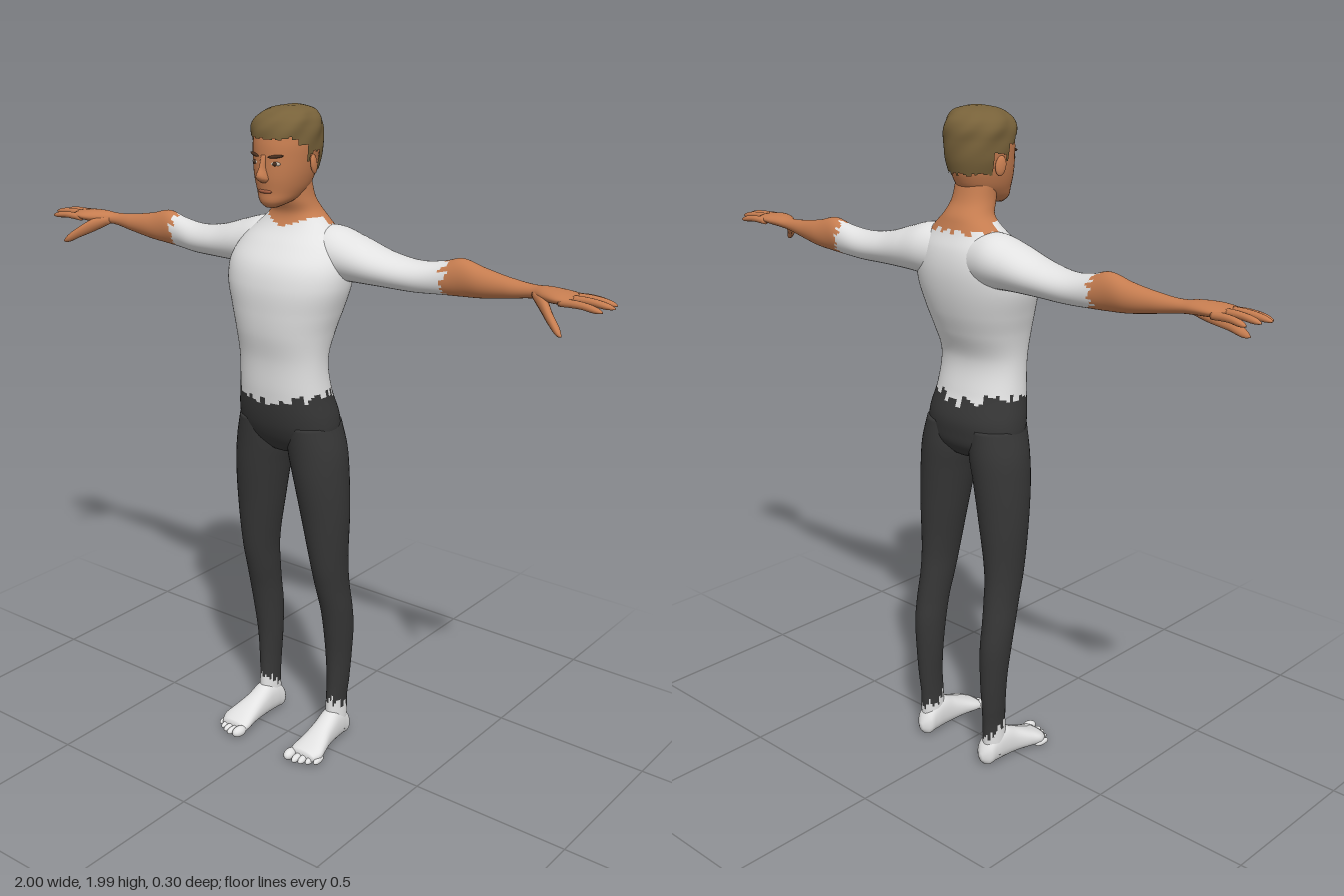
import * as THREE from 'three';

const paint = (name, color, side = THREE.FrontSide) => {
  const m = new THREE.MeshStandardMaterial({ color, side });
  m.name = name;
  return m;
};

// Repeatable pseudo-random value (0..1) for the ragged hems
const jag = (j) => { const v = Math.sin(j * 12.9898 + 4.1) * 43758.5453; return v - Math.floor(v); };

// Smooth loft. Each row is [t, centreA, radiusA, centreB, radiusB] along the axis.
// pick(x, y, z, j) returns the material index of a face, or -1 to leave it out.
function loft(name, axis, rows, mats, o = {}) {
  const { steps = 24, segs = 24, power = 2, side = 1, pick = () => 0, bump = () => 1 } = o;
  const curve = new THREE.CubicInterpolant(rows.map(r => r[0]), rows.flatMap(r => r.slice(1)), 4, new Float32Array(4));
  const place = {
    x: (t, a, b) => [t * side, a, b],
    y: (t, a, b) => [a * side, t, b],
    z: (t, a, b) => [a * side, b, t],
  }[axis];
  const t0 = rows[0][0], t1 = rows[rows.length - 1][0];
  const pos = [], ends = [];
  for (let i = 0; i <= steps; i++) {
    const t = t0 + (t1 - t0) * i / steps;
    const [ca, ra, cb, rb] = curve.evaluate(t);
    for (let j = 0; j < segs; j++) {
      const q = j / segs * Math.PI * 2, c = Math.cos(q), s = Math.sin(q), k = bump(q, t);
      pos.push(...place(t,
        ca + Math.sign(c) * Math.abs(c) ** (2 / power) * Math.max(ra, 0.001) * k,
        cb + Math.sign(s) * Math.abs(s) ** (2 / power) * Math.max(rb, 0.001) * k));
    }
    if (i === 0 || i === steps) ends.push(place(t, ca, cb));
  }
  pos.push(...ends[0], ...ends[1]);
  const n = (steps + 1) * segs;
  const flip = (axis === 'y') !== (side < 0);
  const buckets = mats.map(() => []);
  const add = (j, ...f) => {
    const mid = [0, 1, 2].map(k => f.reduce((sum, v) => sum + pos[v * 3 + k], 0) / f.length);
    const m = pick(mid[0] * side, mid[1], mid[2], j);
    if (m < 0) return;
    if (flip) f.reverse();
    buckets[m].push(f[0], f[1], f[2]);
    if (f.length === 4) buckets[m].push(f[0], f[2], f[3]);
  };
  for (let j = 0; j < segs; j++) {
    const k = (j + 1) % segs;
    for (let i = 0; i < steps; i++) add(j, i * segs + j, i * segs + k, (i + 1) * segs + k, (i + 1) * segs + j);
    add(j, n, k, j);
    add(j, n + 1, steps * segs + j, steps * segs + k);
  }
  const geo = new THREE.BufferGeometry();
  geo.setAttribute('position', new THREE.Float32BufferAttribute(pos, 3));
  geo.setIndex(buckets.flat());
  let start = 0;
  buckets.forEach((b, i) => { geo.addGroup(start, b.length, i); start += b.length; });
  geo.computeVertexNormals();
  const mesh = new THREE.Mesh(geo, mats);
  mesh.name = name;
  return mesh;
}

function blob(name, mat, p, s, rot = [0, 0, 0]) {
  const mesh = new THREE.Mesh(new THREE.SphereGeometry(1, 16, 12), mat);
  mesh.name = name;
  mesh.position.set(...p);
  mesh.scale.set(...s);
  mesh.rotation.set(...rot);
  return mesh;
}

export function createModel() {
  const g = new THREE.Group();
  g.name = 'standingMan';
  const skin = paint('skin', 0xc67d50), shirt = paint('white cloth', 0xe2e2e2), trousers = paint('dark trousers', 0x363636);
  const hair = paint('hair', 0x78623a, THREE.DoubleSide), dark = paint('brow brown', 0x4a3020);
  const lip = paint('lips', 0xa65f42), white = paint('eye white', 0xcdbfae);

  // Hips, shirt and neck in one body, split at hem and neckline
  g.add(loft('torso', 'y', [
    [0.985, 0, 0.07, -0.02, 0.06], [1.02, 0, 0.145, -0.018, 0.088], [1.06, 0, 0.163, -0.012, 0.102],
    [1.1, 0, 0.163, -0.007, 0.108], [1.18, 0, 0.148, 0.01, 0.1], [1.28, 0, 0.143, 0.02, 0.095],
    [1.36, 0, 0.155, 0.012, 0.117], [1.42, 0, 0.172, 0.003, 0.13], [1.5, 0, 0.193, -0.007, 0.138],
    [1.56, 0, 0.19, -0.018, 0.13], [1.61, 0, 0.165, -0.033, 0.106], [1.65, 0, 0.125, -0.042, 0.079],
    [1.675, 0, 0.098, -0.045, 0.067], [1.695, 0, 0.078, -0.043, 0.062], [1.73, 0, 0.065, -0.025, 0.058],
    [1.79, 0, 0.06, -0.01, 0.055],
  ], [trousers, shirt, skin], {
    steps: 120, segs: 64, power: 2.2,
    pick: (x, y, z, j) => {
      if (y < 1.135 + 0.2 * Math.min(Math.abs(x), 0.12) + 0.032 * jag(j)) return 0;
      const neckline = z < -0.045 ? 1.645 + 0.02 * jag(j) : 1.655 + 0.35 * Math.abs(x);
      return y > neckline ? 2 : 1;
    },
  }));

  // Head
  g.add(loft('head', 'y', [
    [1.717, 0, 0.018, 0.072, 0.018], [1.73, 0, 0.04, 0.052, 0.05], [1.76, 0, 0.061, 0.025, 0.08],
    [1.8, 0, 0.075, 0.014, 0.096], [1.85, 0, 0.083, 0.009, 0.101], [1.9, 0, 0.085, 0.005, 0.102],
    [1.94, 0, 0.077, 0.002, 0.092], [1.965, 0, 0.055, 0, 0.065], [1.975, 0, 0.02, 0, 0.03],
  ], [skin], { steps: 40, segs: 40, power: 2.1 }));

  // Swept hair cap, cut away around the face and ears
  g.add(loft('hair', 'y', [
    [1.8, 0, 0.074, 0.004, 0.096], [1.85, 0, 0.088, 0.002, 0.106], [1.9, 0, 0.092, 0.003, 0.109],
    [1.94, 0, 0.091, 0.002, 0.105], [1.965, 0.004, 0.078, 0, 0.088], [1.983, 0.01, 0.05, -0.002, 0.058],
    [1.99, 0.014, 0.018, -0.004, 0.025],
  ], [hair], {
    steps: 48, segs: 64, power: 2.1,
    bump: (q, t) => 1 + 0.025 * Math.sin(q * 7 + t * 60) * THREE.MathUtils.smoothstep(t, 1.84, 1.94),
    pick: (x, y, z, j) => {
      const line = z > 0.055 ? 1.905 : z > 0.022 ? 1.885 : z > 0.008 ? 1.84 : z > -0.03 ? 1.865 : 1.808;
      return y > line + 0.008 * jag(j) ? 0 : -1;
    },
  }));

  // Nose and mouth
  g.add(loft('nose', 'y', [
    [1.789, 0, 0.008, 0.108, 0.006], [1.797, 0, 0.017, 0.11, 0.018], [1.806, 0, 0.016, 0.111, 0.025],
    [1.83, 0, 0.009, 0.108, 0.018], [1.864, 0, 0.01, 0.104, 0.008],
  ], [skin], { steps: 16, segs: 16 }));
  g.add(blob('mouth', lip, [0, 1.764, 0.102], [0.024, 0.006, 0.007]));
  g.add(blob('chin', skin, [0, 1.735, 0.083], [0.026, 0.016, 0.02]));

  for (const side of [1, -1]) {
    const label = side > 0 ? 'left' : 'right';
    const opt = (o) => ({ side, ...o });

    // Eye, brow and ear
    g.add(blob(label + 'Eye', white, [side * 0.035, 1.842, 0.1], [0.015, 0.006, 0.004], [0, side * 0.35, 0]));
    g.add(blob(label + 'Iris', dark, [side * 0.035, 1.842, 0.1025], [0.006, 0.006, 0.004], [0, side * 0.35, 0]));
    g.add(blob(label + 'Brow', dark, [side * 0.037, 1.862, 0.101], [0.023, 0.0045, 0.005], [0, side * 0.4, side * 0.12]));
    g.add(blob(label + 'Ear', skin, [side * 0.086, 1.834, -0.006], [0.008, 0.028, 0.017], [0.2, side * 0.3, 0]));

    // Sleeve, forearm and palm
    g.add(loft(label + 'Arm', 'x', [
      [0.05, 1.58, 0.075, -0.055, 0.075], [0.13, 1.583, 0.077, -0.06, 0.085], [0.2, 1.575, 0.066, -0.06, 0.083],
      [0.3, 1.56, 0.05, -0.062, 0.071], [0.4, 1.553, 0.044, -0.068, 0.057], [0.48, 1.56, 0.047, -0.075, 0.042],
      [0.53, 1.568, 0.052, -0.077, 0.036], [0.6, 1.563, 0.041, -0.077, 0.036], [0.68, 1.563, 0.028, -0.073, 0.028],
      [0.76, 1.567, 0.018, -0.068, 0.023], [0.8, 1.57, 0.019, -0.058, 0.036], [0.85, 1.571, 0.017, -0.05, 0.047],
      [0.89, 1.572, 0.011, -0.05, 0.044],
    ], [shirt, skin], opt({ steps: 110, segs: 40, pick: (x, y, z, j) => x > 0.475 + 0.035 * jag(j) ? 1 : 0 })));

    // Four fingers, from little to index
    [[-0.088, -0.1, 0.965], [-0.063, -0.073, 0.99], [-0.037, -0.04, 1.0], [-0.014, -0.008, 0.982]].forEach(([z0, z1, tip], i) => {
      const at = (f) => 0.86 + (tip - 0.86) * f, zc = (f) => z0 + (z1 - z0) * f, y = 1.572 - (i % 3 ? 0 : 0.006);
      g.add(loft(label + 'Finger' + (i + 1), 'x', [
        [at(0), y, 0.011, zc(0), 0.012], [at(0.5), y + 0.002, 0.01, zc(0.5), 0.0105],
        [at(0.9), y - 0.004, 0.007, zc(0.9), 0.008], [at(1), y - 0.006, 0.002, zc(1), 0.002],
      ], [skin], opt({ steps: 14, segs: 12 })));
    });
    g.add(loft(label + 'Thumb', 'x', [
      [0.765, 1.565, 0.012, -0.055, 0.014], [0.81, 1.548, 0.021, -0.025, 0.02], [0.85, 1.523, 0.017, 0.008, 0.015],
      [0.885, 1.499, 0.01, 0.028, 0.01], [0.895, 1.493, 0.002, 0.033, 0.002],
    ], [skin], opt({ steps: 16, segs: 14 })));

    // Trouser leg down to the pale ankle
    g.add(loft(label + 'Leg', 'y', [
      [0.03, 0.135, 0.03, -0.08, 0.035], [0.08, 0.135, 0.03, -0.077, 0.042], [0.14, 0.135, 0.028, -0.078, 0.042],
      [0.2, 0.137, 0.031, -0.082, 0.043], [0.3, 0.138, 0.038, -0.083, 0.047], [0.4, 0.14, 0.044, -0.076, 0.054],
      [0.47, 0.14, 0.046, -0.064, 0.056], [0.55, 0.136, 0.048, -0.047, 0.061], [0.62, 0.134, 0.052, -0.035, 0.066],
      [0.8, 0.122, 0.073, -0.025, 0.08], [0.92, 0.109, 0.083, -0.02, 0.09], [1.0, 0.097, 0.087, -0.018, 0.094],
      [1.08, 0.088, 0.074, -0.012, 0.094],
    ], [trousers, shirt], opt({
      steps: 110, segs: 40, pick: (x, y, z, j) => y < 0.1 + 0.5 * (z + 0.08) + 0.04 * jag(j) ? 1 : 0,
    })));

    // Foot and toes
    g.add(loft(label + 'Foot', 'z', [
      [-0.134, 0.132, 0.008, 0.03, 0.012], [-0.12, 0.132, 0.027, 0.035, 0.034], [-0.09, 0.133, 0.033, 0.05, 0.05],
      [-0.05, 0.135, 0.035, 0.055, 0.055], [0, 0.138, 0.038, 0.043, 0.043], [0.05, 0.143, 0.047, 0.031, 0.031],
      [0.085, 0.144, 0.053, 0.023, 0.023], [0.112, 0.137, 0.045, 0.017, 0.017],
    ], [shirt], opt({ steps: 36, segs: 28, power: 2.3 })));
    for (let i = 0; i < 5; i++) {
      const r = i ? 0.0125 - i * 0.0005 : 0.017;
      g.add(blob(label + 'Toe' + (i + 1), shirt, [side * (0.104 + (i ? 0.006 : 0) + i * 0.02), r, 0.122 - i * i * 0.0022], [r, r, 0.027], [0, side * 0.1, 0]));
    }
  }
  return g;
}
